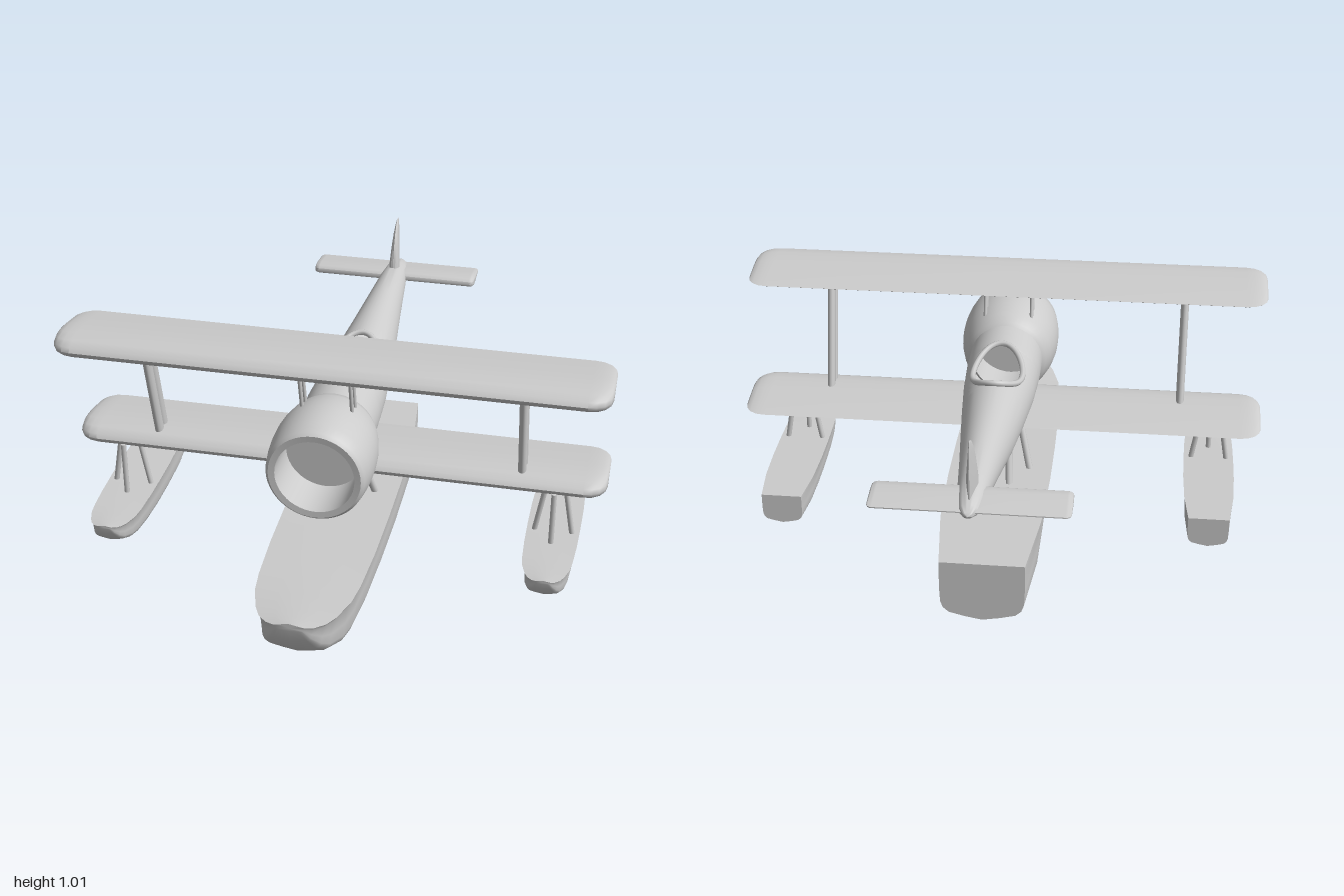
import * as THREE from 'three';
import { toCreasedNormals } from 'three/addons/utils/BufferGeometryUtils.js';

const material = new THREE.MeshStandardMaterial({ color: 0xcccccc, side: THREE.DoubleSide });

function addMesh(parent, name, geometry) {
  const mesh = new THREE.Mesh(geometry, material);
  mesh.name = name;
  parent.add(mesh);
  return mesh;
}

// Skin a list of rings (arrays of [x, y, z]); closed rings can be capped
function loft(rings, { closed = true, caps = true, crease = 0.9 } = {}) {
  const n = rings[0].length, pos = rings.flat(2), index = [];
  for (let i = 0; i < rings.length - 1; i++) {
    for (let j = 0; j < (closed ? n : n - 1); j++) {
      const a = i * n + j, b = i * n + (j + 1) % n;
      index.push(a, b, a + n, b, b + n, a + n);
    }
  }
  if (caps) {
    [0, rings.length - 1].forEach((r, end) => {
      const c = pos.length / 3;
      for (let k = 0; k < 3; k++) pos.push(rings[r].reduce((s, p) => s + p[k], 0) / n);
      for (let j = 0; j < n; j++) {
        const a = r * n + j, b = r * n + (j + 1) % n;
        index.push(...(end ? [c, a, b] : [c, b, a]));
      }
    });
  }
  // Turn the faces outward if the signed volume is negative
  let volume = 0;
  const v = (i) => new THREE.Vector3().fromArray(pos, i * 3);
  for (let i = 0; i < index.length; i += 3)
    volume += v(index[i]).dot(v(index[i + 1]).cross(v(index[i + 2])));
  if (volume < 0) index.reverse();
  const g = new THREE.BufferGeometry();
  g.setAttribute('position', new THREE.Float32BufferAttribute(pos, 3));
  g.setIndex(index);
  return toCreasedNormals(g, crease);
}

// Strut between two points, optionally wider along z
function addStrut(parent, name, from, to, radius, depth = 1) {
  const a = new THREE.Vector3(...from), b = new THREE.Vector3(...to);
  const mesh = addMesh(parent, name, new THREE.CylinderGeometry(radius, radius, a.distanceTo(b), 12));
  mesh.position.copy(a).add(b).multiplyScalar(0.5);
  mesh.quaternion.setFromUnitVectors(new THREE.Vector3(0, 1, 0), b.sub(a).normalize());
  mesh.scale.z = depth;
}

// Aerofoil sections: [chord fraction from leading edge, height]
const wingFoil = [[0, 0], [0.03, 0.016], [0.12, 0.029], [0.27, 0.035], [0.5, 0.029], [0.75, 0.016], [1, 0],
  [0.97, -0.005], [0.7, -0.004], [0.5, -0.018], [0.35, -0.03], [0.18, -0.035], [0.07, -0.027], [0.02, -0.014]];
const tailFoil = [[0, 0], [0.03, 0.009], [0.12, 0.017], [0.3, 0.02], [0.6, 0.013], [1, 0.002],
  [1, -0.002], [0.6, -0.013], [0.3, -0.02], [0.12, -0.017], [0.03, -0.009]];

function wingGeometry(foil, span, lead, trail, corner) {
  // Tip stations: [inset from tip, edge inset, thickness], in corner radii
  const tip = [[0, 1, 0.55], [0.08, 0.62, 0.72], [0.3, 0.28, 0.88], [0.62, 0.07, 0.97], [1, 0, 1]];
  const half = tip.map(([d, inset, t]) => [span - d * corner, inset * corner, t]);
  const stations = [...half, ...half.map(([x, e, t]) => [-x, e, t]).reverse()];
  return loft(stations.map(([x, e, t]) =>
    foil.map(([c, h]) => [x, h * t, lead - e - c * (lead - trail - 2 * e)])), { crease: 1 });
}

// Fuselage stations: [z, half width, top, bottom]
const body = [[0.44, 0.14, 0.797, 0.513], [0.16, 0.14, 0.795, 0.515], [0, 0.133, 0.79, 0.522],
  [-0.2, 0.116, 0.79, 0.54], [-0.4, 0.096, 0.79, 0.565], [-0.6, 0.075, 0.79, 0.612], [-0.8, 0.056, 0.786, 0.662],
  [-0.9, 0.045, 0.773, 0.69], [-0.96, 0.033, 0.759, 0.709], [-0.99, 0.017, 0.746, 0.723], [-1, 0.001, 0.736, 0.734]];

function bodyAt(z) {
  let i = 0;
  while (i < body.length - 2 && z < body[i + 1][0]) i++;
  const [p, q] = [body[i], body[i + 1]], t = (z - p[0]) / (q[0] - p[0]);
  const [, w, top, bottom] = p.map((a, k) => a + (q[k] - a) * t);
  return { w, cy: (top + bottom) / 2, h: (top - bottom) / 2 };
}

const cockpit = { z: -0.045, length: 0.158, width: 0.092 };

function fuselageGeometry() {
  const zs = body.map((s) => s[0]);
  for (let i = 0; i <= 24; i++) zs.push(cockpit.z + cockpit.length * Math.cos(Math.PI * i / 24));
  zs.sort((a, b) => b - a);
  return loft(zs.map((z) => {
    const { w, cy, h } = bodyAt(z), u = (z - cockpit.z) / cockpit.length;
    // The ring opens at the top where it crosses the cockpit ellipse
    const gap = Math.abs(u) < 1 ? Math.asin(cockpit.width * Math.sqrt(1 - u * u) / w) : 0;
    return Array.from({ length: 41 }, (_, j) => {
      const a = gap + (2 * Math.PI - 2 * gap) * j / 40;
      return [w * Math.sin(a), cy + h * Math.cos(a), z];
    });
  }), { closed: false, caps: false });
}

function coamingGeometry() {
  const points = Array.from({ length: 32 }, (_, i) => {
    const t = i / 32 * 2 * Math.PI, x = cockpit.width * Math.sin(t), z = cockpit.z + cockpit.length * Math.cos(t);
    const { w, cy, h } = bodyAt(z);
    return new THREE.Vector3(x, cy + h * Math.sqrt(1 - (x / w) ** 2) + 0.004 + 0.007 * Math.cos(t) ** 2, z);
  });
  return new THREE.TubeGeometry(new THREE.CatmullRomCurve3(points, true), 64, 0.011, 8, true);
}

// Float hull stations: [z, half width, deck centre, deck edge, keel, wall flare]
function floatGeometry() {
  const stations = [[1, 0.055, 0.315, 0.305, 0.285, 0.87], [0.985, 0.085, 0.311, 0.3, 0.235, 0.87],
    [0.95, 0.118, 0.306, 0.295, 0.175, 0.87], [0.9, 0.142, 0.3, 0.29, 0.125, 0.87],
    [0.8, 0.172, 0.291, 0.285, 0.075, 0.87], [0.7, 0.184, 0.287, 0.283, 0.045, 0.87],
    [0.5, 0.194, 0.284, 0.282, 0.015, 0.87], [0.25, 0.198, 0.283, 0.282, 0.002, 0.88],
    [0, 0.198, 0.282, 0.281, 0.006, 0.9], [-0.3, 0.188, 0.281, 0.281, 0.022, 0.95], [-0.6, 0.155, 0.28, 0.28, 0.04, 1]];
  return loft(stations.map(([z, w, dc, de, k, f]) => {
    const h = de - k;
    const half = [[w * 0.5, (dc + de) / 2], [w, de], [w * (f + 0.03 * (1 - f) / 0.13), de - 0.13 * h],
      [w * f, de - 0.45 * h], [w * f * 0.98, de - 0.7 * h], [w * f * 0.92, de - 0.81 * h],
      [w * f * 0.78, de - 0.89 * h], [w * f * 0.42, de - 0.95 * h]];
    return [[0, dc, z], ...half.map(([x, y]) => [x, y, z]), [0, k, z],
      ...half.map(([x, y]) => [-x, y, z]).reverse()];
  }), { crease: 0.8 });
}

export function createModel() {
  const model = new THREE.Group();
  model.name = 'biplaneFloatplane';

  // Fuselage with open cockpit
  addMesh(model, 'fuselage', fuselageGeometry());
  addMesh(model, 'cockpitRim', coamingGeometry());

  // Hollow engine cowling and firewall
  const cowl = [[0.142, 0.42], [0.142, 0.61], [0.165, 0.612], [0.176, 0.6], [0.184, 0.55], [0.188, 0.5],
    [0.188, 0.44], [0.183, 0.39], [0.17, 0.33], [0.154, 0.29], [0.13, 0.27]];
  const cowling = new THREE.LatheGeometry(cowl.map(([r, z]) => new THREE.Vector2(r, z)), 48);
  addMesh(model, 'engineCowling', toCreasedNormals(cowling.rotateX(Math.PI / 2), 0.6)).position.y = 0.654;
  addMesh(model, 'firewall', new THREE.CircleGeometry(0.145, 48)).position.set(0, 0.654, 0.441);

  // Wings, staggered
  addMesh(model, 'upperWing', wingGeometry(wingFoil, 0.987, 0.495, 0.16, 0.08)).position.y = 0.976;
  addMesh(model, 'lowerWing', wingGeometry(wingFoil, 0.987, 0.315, -0.02, 0.08)).position.y = 0.518;

  // Tailplane and fin
  addMesh(model, 'tailplane', wingGeometry(tailFoil, 0.335, -0.82, -0.978, 0.02)).position.y = 0.737;
  const fin = [[0.74, -0.805, -0.94, 1.1], [0.8, -0.813, -0.945, 1], [0.87, -0.832, -0.944, 0.7],
    [0.92, -0.855, -0.94, 0.45], [0.95, -0.88, -0.932, 0.25], [0.963, -0.9, -0.922, 0.1]];
  addMesh(model, 'fin', loft(fin.map(([y, lead, trail, t]) =>
    tailFoil.map(([c, h]) => [h * t, y, lead + c * (trail - lead)]))));

  // Floats
  const hull = floatGeometry();
  addMesh(model, 'mainFloat', hull);
  for (const s of [1, -1]) {
    const side = s > 0 ? 'left' : 'right', x = s * 0.805;
    const tipFloat = addMesh(model, side + 'TipFloat', hull);
    tipFloat.scale.set(0.49, 0.49, 0.4975);
    tipFloat.position.set(x, 0.152, 0.0675);

    // Wing struts
    addStrut(model, side + 'FrontWingStrut', [s * 0.68, 0.96, 0.35], [s * 0.68, 0.52, 0.237], 0.015, 1.6);
    addStrut(model, side + 'RearWingStrut', [s * 0.68, 0.97, 0.307], [s * 0.68, 0.52, 0.19], 0.015, 1.6);
    addStrut(model, side + 'FrontCabaneStrut', [s * 0.09, 0.955, 0.44], [s * 0.09, 0.79, 0.4], 0.007, 1.5);
    addStrut(model, side + 'RearCabaneStrut', [s * 0.09, 0.96, 0.397], [s * 0.09, 0.78, 0.352], 0.007, 1.5);

    // Float struts
    addStrut(model, side + 'FrontFloatStrut', [s * 0.05, 0.53, 0.17], [s * 0.112, 0.275, 0.085], 0.013);
    addStrut(model, side + 'RearFloatStrut', [s * 0.03, 0.54, 0.072], [s * 0.043, 0.275, -0.037], 0.013);
    addStrut(model, side + 'TipFloatFrontStrut', [x, 0.5, 0.305], [x, 0.28, 0.305], 0.01);
    for (const d of [1, -1])
      addStrut(model, side + 'TipFloatRearStrut', [x + d * 0.033, 0.5, 0.23], [x + d * 0.07, 0.28, 0.225], 0.01);
  }
  return model;
}
